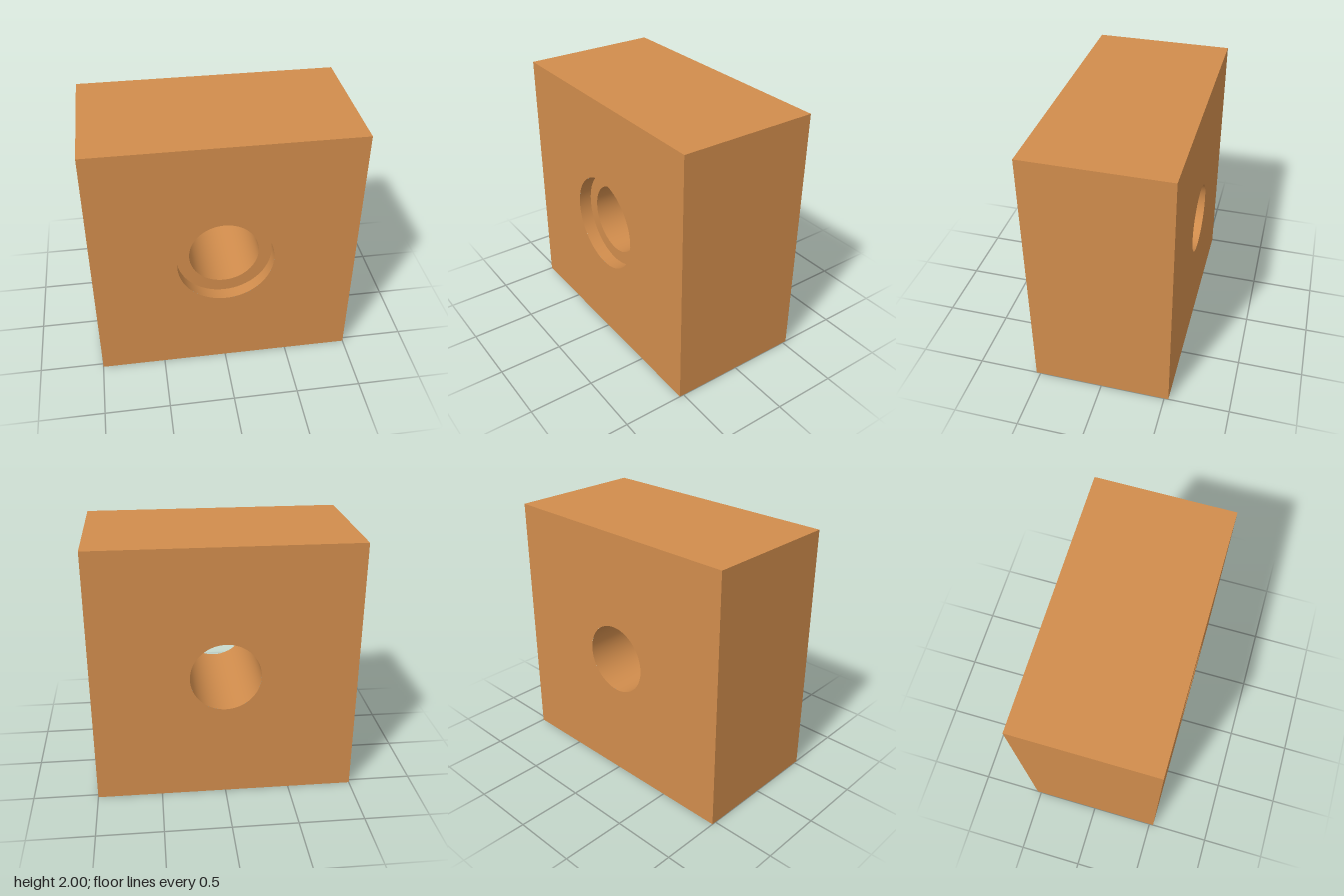
import * as THREE from 'three';
import { mergeGeometries, toCreasedNormals } from 'three/addons/utils/BufferGeometryUtils.js';

const HALF = 1;             // half width and half height
const DEPTH = 1.066;
const BORE_R = 0.267;       // through hole
const RECESS_R = 0.367;     // counterbore in the front face
const RECESS_DEPTH = 0.1;
const SEGMENTS = 64;

// Square face with a round hole, facing +z
function holedFace(holeRadius) {
  const shape = new THREE.Shape();
  shape.moveTo(-HALF, -HALF);
  shape.lineTo(HALF, -HALF);
  shape.lineTo(HALF, HALF);
  shape.lineTo(-HALF, HALF);
  shape.closePath();
  const hole = new THREE.Path();
  hole.absarc(0, 0, holeRadius, 0, Math.PI * 2, true);
  shape.holes.push(hole);
  return new THREE.ShapeGeometry(shape, SEGMENTS).toNonIndexed();
}

export function createModel() {
  const model = new THREE.Group();
  model.name = 'boredBlock';
  const material = new THREE.MeshStandardMaterial({ color: 0xd08c4c });
  const front = DEPTH / 2;

  const add = (name, geometry) => {
    const mesh = new THREE.Mesh(geometry, material);
    mesh.name = name;
    mesh.position.y = HALF;
    model.add(mesh);
  };

  // Block: two holed faces and four outer walls
  const walls = new THREE.CylinderGeometry(HALF * Math.SQRT2, HALF * Math.SQRT2, DEPTH, 4, 1, true);
  walls.rotateY(Math.PI / 4).rotateX(Math.PI / 2);
  add('block', mergeGeometries([
    holedFace(RECESS_R).translate(0, 0, front),
    holedFace(BORE_R).rotateY(Math.PI).translate(0, 0, -front),
    toCreasedNormals(walls, 0.5),
  ]));

  // Counterbore wall, its flat floor and the through bore
  const profile = [
    [RECESS_R, front],
    [RECESS_R, front - RECESS_DEPTH],
    [BORE_R, front - RECESS_DEPTH],
    [BORE_R, -front],
  ].map(([r, y]) => new THREE.Vector2(r, y));
  const bore = new THREE.LatheGeometry(profile, SEGMENTS).rotateX(Math.PI / 2);
  add('steppedBore', toCreasedNormals(bore, 0.5));

  return model;
}
